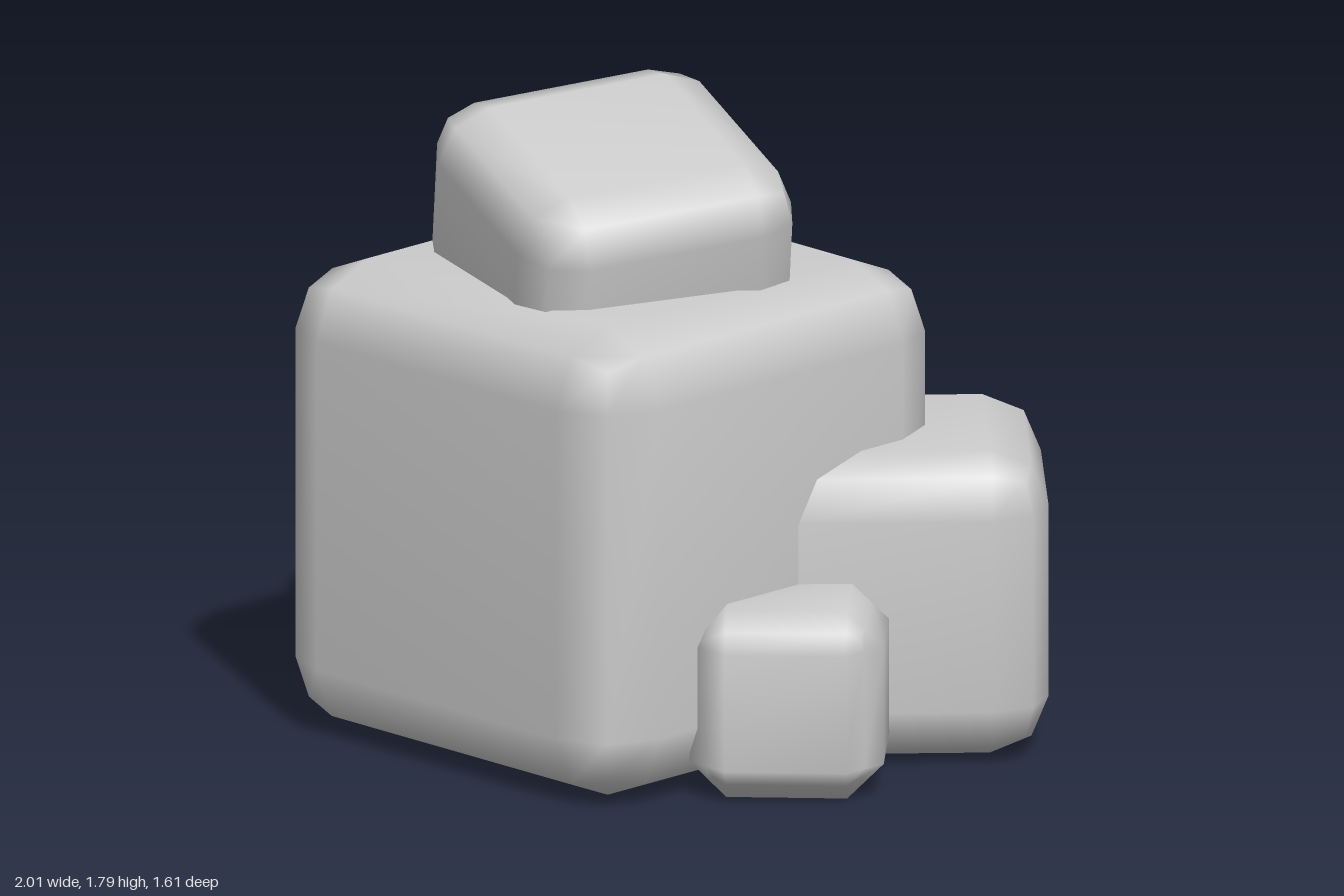
import * as THREE from 'three';
import { mergeVertices } from 'three/addons/utils/BufferGeometryUtils.js';

const material = new THREE.MeshStandardMaterial({ color: 0xcccccc });

// Cube with bevelled edges: a two-step round bevel, or a single flat chamfer
function bevelledCube(size, radius, round) {
  const geometry = new THREE.BoxGeometry(1, 1, 1, 3, 3, 3);
  geometry.deleteAttribute('uv');
  geometry.deleteAttribute('normal');
  const position = geometry.attributes.position;
  const core = size / 2 - radius;
  const p = new THREE.Vector3();
  const dir = new THREE.Vector3();
  const outer = (c) => (Math.abs(c) > 0.4 ? Math.sign(c) : 0);
  for (let i = 0; i < position.count; i++) {
    p.fromBufferAttribute(position, i);
    dir.set(outer(p.x), outer(p.y), outer(p.z));
    dir.divideScalar(round ? dir.length() : dir.manhattanLength());
    p.set(Math.sign(p.x), Math.sign(p.y), Math.sign(p.z)).multiplyScalar(core);
    p.addScaledVector(dir, radius);
    position.setXYZ(i, p.x, p.y, p.z);
  }
  const merged = mergeVertices(geometry, 1e-5);
  merged.computeVertexNormals();
  return merged;
}

export function createModel() {
  const group = new THREE.Group();

  // Each rock: size, bevel radius, centre, turn about y
  const rocks = [
    { name: 'mainRock', size: 1.33, radius: 0.2, at: [-0.207, 0.665, 0], yaw: -0.425, round: true },
    { name: 'sideRock', size: 0.86, radius: 0.16, at: [0.492, 0.43, -0.285], yaw: 0.41, round: true },
    { name: 'smallRock', size: 0.53, radius: 0.1, at: [0.438, 0.265, 0.309], yaw: 0.322, round: false },
    { name: 'topRock', size: 0.82, radius: 0.15, at: [-0.205, 1.31, 0], yaw: -0.77, round: true, up: [0.126, 0.97, 0.209] },
  ];

  const yAxis = new THREE.Vector3(0, 1, 0);
  for (const rock of rocks) {
    const mesh = new THREE.Mesh(bevelledCube(rock.size, rock.radius, rock.round), material);
    mesh.name = rock.name;
    mesh.position.set(...rock.at);
    mesh.rotation.y = rock.yaw;
    // Lean the upper rock to one side
    if (rock.up) {
      const up = new THREE.Vector3(...rock.up).normalize();
      mesh.quaternion.premultiply(new THREE.Quaternion().setFromUnitVectors(yAxis, up));
    }
    group.add(mesh);
  }
  return group;
}
